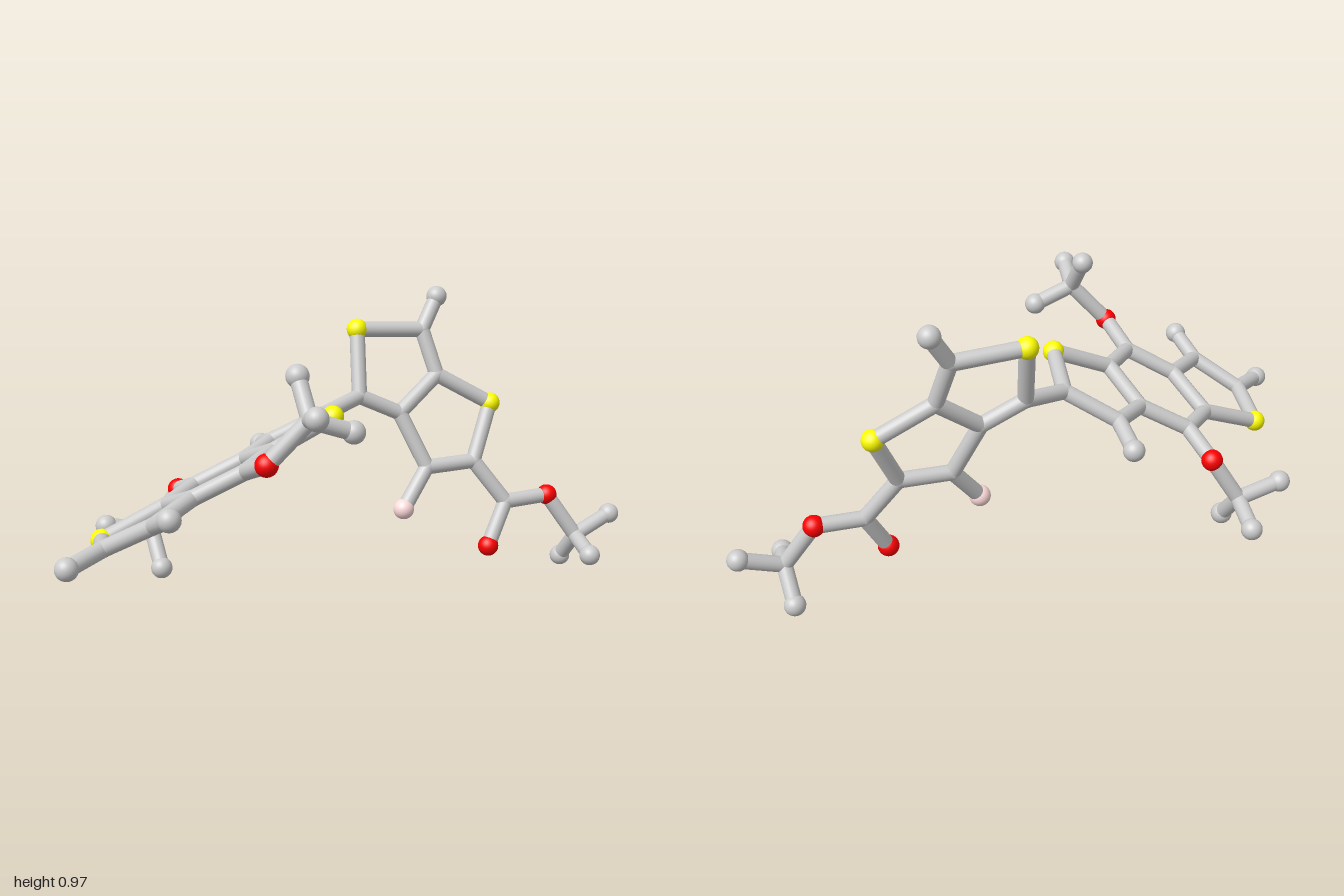
import * as THREE from 'three';

const BOND_RADIUS = 0.025;
const GREY = 0xcccccc, YELLOW = 0xffff00, RED = 0xff0000, PINK = 0xffdcdc;

// The two flat ring systems: height of the left one, depth of the right one
const leftPlane = (x, z) => [x, 0.489 + 0.394 * (x + 0.44) + 0.355 * z, z];
const rightPlane = (x, y) => [x, y, 0.026 + 0.191 * x - 0.323 * y];

// Joints (bare bond corners)
const joints = {
  // left fused three-ring system
  a1: leftPlane(-0.575, -0.096), a2: leftPlane(-0.57, 0.086), a3: leftPlane(-0.44, 0.172),
  a4: leftPlane(-0.297, 0.064), a5: leftPlane(-0.30, -0.118), a6: leftPlane(-0.436, -0.193),
  b1: leftPlane(-0.837, 0.065), b2: leftPlane(-0.735, 0.19),
  c1: leftPlane(-0.03, -0.10), c2: leftPlane(-0.163, -0.203),
  // right fused two-ring system
  d1: [0.131, 0.647, -0.145], d2: rightPlane(0.388, 0.84), d3: rightPlane(0.414, 0.695),
  d4: rightPlane(0.265, 0.583), d5: rightPlane(0.329, 0.406), d6: rightPlane(0.495, 0.412),
  // side arms
  e1: rightPlane(0.586, 0.273),
  m1: [-0.51, 0.235, -0.378], m2: [-0.34, 0.73, 0.372], m3: [0.826, 0.138, 0.13],
};

// Visible balls: position and colour
const balls = {
  s1: [[-0.776, 0.32, -0.112], YELLOW], s2: [[-0.104, 0.655, 0.09], YELLOW],
  s3: [[0.165, 0.853, -0.217], YELLOW], s4: [[0.586, 0.592, -0.053], YELLOW],
  o1: [[-0.433, 0.372, -0.331], RED], o2: [[-0.447, 0.604, 0.318], RED],
  o3: [[0.505, 0.136, 0.07], RED], o4: [[0.741, 0.28, 0.075], RED],
  f1: [[0.227, 0.283, -0.022], PINK],
  h1: [[-0.968, 0.337, 0.128], GREY], h2: [[-0.738, 0.49, 0.31], GREY],
  h3: [[-0.14, 0.486, -0.325], GREY], h4: [[0.457, 0.943, -0.19], GREY],
  // three ends on each side arm
  p1: [[-0.655, 0.266, -0.40], GREY], p2: [[-0.516, 0.132, -0.292], GREY], p3: [[-0.473, 0.197, -0.50], GREY],
  q1: [[-0.334, 0.839, 0.293], GREY], q2: [[-0.388, 0.764, 0.497], GREY], q3: [[-0.211, 0.684, 0.392], GREY],
  r1: [[0.965, 0.195, 0.139], GREY], r2: [[0.789, 0.107, 0.254], GREY], r3: [[0.832, 0.04, 0.048], GREY],
};

// Chains of bonded points
const chains = {
  leftRings: ['a1 a2 a3 a4 a5 a6 a1', 'a1 s1 b1 b2 a2', 'a4 s2 c1 c2 a5', 'b1 h1', 'b2 h2', 'c2 h3'],
  link: ['c1 d1'],
  rightRings: ['d1 s3 d2 d3 d4 d1', 'd3 s4 d6 d5 d4', 'd2 h4', 'd5 f1'],
  backArm: ['a6 o1 m1 p1', 'm1 p2', 'm1 p3'],
  frontArm: ['a3 o2 m2 q1', 'm2 q2', 'm2 q3'],
  lowerArm: ['d6 e1 o4 m3 r1', 'e1 o3', 'm3 r2', 'm3 r3'],
};

export function createModel() {
  const model = new THREE.Group();
  model.name = 'ballAndStickModel';

  const materials = {};
  for (const color of [GREY, YELLOW, RED, PINK]) {
    materials[color] = new THREE.MeshStandardMaterial({ color });
  }
  const points = {};

  function addBall(parent, name, position, radius, color) {
    const mesh = new THREE.Mesh(new THREE.SphereGeometry(radius, 24, 16), materials[color]);
    mesh.name = name;
    mesh.position.fromArray(position);
    parent.add(mesh);
  }

  function addBond(parent, from, to) {
    const direction = to.clone().sub(from);
    const geometry = new THREE.CylinderGeometry(BOND_RADIUS, BOND_RADIUS, direction.length(), 20, 1, true);
    const mesh = new THREE.Mesh(geometry, materials[GREY]);
    mesh.name = 'bond';
    mesh.position.addVectors(from, to).multiplyScalar(0.5);
    mesh.quaternion.setFromUnitVectors(new THREE.Vector3(0, 1, 0), direction.normalize());
    parent.add(mesh);
  }

  // Rounded corners where bonds meet
  const jointGroup = new THREE.Group();
  jointGroup.name = 'joints';
  model.add(jointGroup);
  for (const [key, position] of Object.entries(joints)) {
    points[key] = new THREE.Vector3(...position);
    addBall(jointGroup, 'joint', position, BOND_RADIUS * 1.03, GREY);
  }

  // Larger end balls and coloured balls
  const ballNames = { [GREY]: 'endBall', [YELLOW]: 'yellowBall', [RED]: 'redBall', [PINK]: 'pinkBall' };
  const ballGroup = new THREE.Group();
  ballGroup.name = 'balls';
  model.add(ballGroup);
  for (const [key, [position, color]] of Object.entries(balls)) {
    points[key] = new THREE.Vector3(...position);
    addBall(ballGroup, ballNames[color], position, 0.034, color);
  }

  // Bonds, grouped by part
  for (const [name, paths] of Object.entries(chains)) {
    const group = new THREE.Group();
    group.name = name;
    for (const path of paths) {
      const keys = path.split(' ');
      for (let i = 1; i < keys.length; i++) addBond(group, points[keys[i - 1]], points[keys[i]]);
    }
    model.add(group);
  }
  return model;
}
